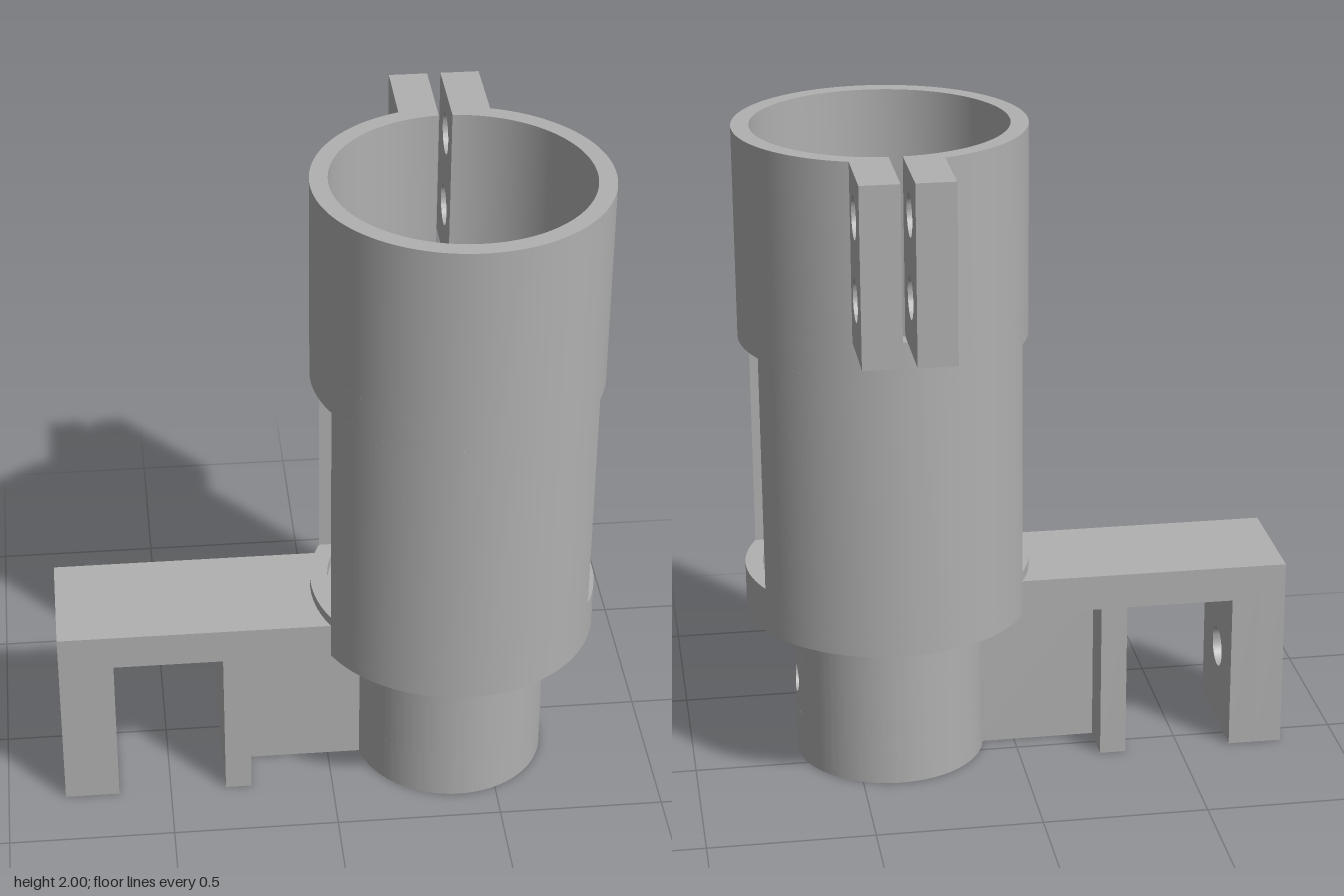
import * as THREE from 'three';
import { toCreasedNormals } from 'three/addons/utils/BufferGeometryUtils.js';

const HALF = 0.19; // half width of the arm and of the windows
const OUT = 0.433, IN = 0.38; // cup wall radii
const TUBE = 0.29, BORE = 0.235; // lower tube radii
const SEG = 96;

export function createModel() {
  const grey = new THREE.MeshStandardMaterial({ color: 0xb0b0b0 });
  grey.name = 'grey plastic';
  const model = new THREE.Group();
  model.name = 'tubeHolder';
  // everything is placed relative to the tube axis
  const body = new THREE.Group();
  body.name = 'body';
  body.position.set(0.385, 0, 0.11);
  model.add(body);

  const add = (name, geometry) => {
    const mesh = new THREE.Mesh(toCreasedNormals(geometry, 0.5), grey);
    mesh.name = name;
    body.add(mesh);
    return mesh;
  };

  // extrude a plan shape upward from y0 to y1
  const upward = (shape, y0, y1) =>
    new THREE.ExtrudeGeometry(shape, { depth: y1 - y0, bevelEnabled: false, curveSegments: SEG })
      .rotateX(-Math.PI / 2).translate(0, y0, 0);

  // extrude a side shape along x
  const sideways = (shape, x0, x1) =>
    new THREE.ExtrudeGeometry(shape, { depth: x1 - x0, bevelEnabled: false, curveSegments: 24 })
      .rotateY(Math.PI / 2).translate(x0, 0, 0);

  const ring = (R, r, y0, y1) => {
    const s = new THREE.Shape().absarc(0, 0, R, 0, Math.PI * 2, false);
    s.holes.push(new THREE.Path().absarc(0, 0, r, 0, Math.PI * 2, true));
    return upward(s, y0, y1);
  };

  // ring opened toward +x by a straight cut of half width h, or toward both sides
  const cutRing = (R, r, h, y0, y1, bothSides) => {
    const end = bothSides ? Math.PI : Math.PI * 2;
    const a = Math.asin(h / R), b = Math.asin(h / r);
    const s = new THREE.Shape();
    s.absarc(0, 0, R, a, end - a, false);
    s.absarc(0, 0, r, end - b, b, true);
    s.closePath();
    return upward(s, y0, y1);
  };

  const rect = (z0, z1, y0, y1) => new THREE.Shape([
    new THREE.Vector2(-z1, y0), new THREE.Vector2(-z0, y0),
    new THREE.Vector2(-z0, y1), new THREE.Vector2(-z1, y1)]);
  const roundHole = (z, y, r) => new THREE.Path().absarc(-z, y, r, 0, Math.PI * 2, true);

  const box = (x0, x1, y0, y1, halfZ) =>
    new THREE.BoxGeometry(x1 - x0, y1 - y0, halfZ * 2).translate((x0 + x1) / 2, (y0 + y1) / 2, 0);

  // curved square piece of wall on the +x side with a round hole through it
  const holedWall = (R, r, h, yc, holeR) => {
    const T = 48, S = 6, K = 2 * (S + 1), pos = [], idx = [];
    for (let i = 0; i <= T; i++) {
      const t = (i / T) * Math.PI * 2, c = Math.cos(t), s = Math.sin(t);
      const edge = h / Math.max(Math.abs(c), Math.abs(s));
      for (let k = 0; k < K; k++) {
        const outer = k <= S;
        const f = (outer ? k : K - 1 - k) / S;
        const d = holeR + (edge - holeR) * f, rad = outer ? R : r;
        pos.push(Math.sqrt(rad * rad - d * d * c * c), yc + d * s, d * c);
      }
    }
    for (let i = 0; i < T; i++) for (let k = 0; k < K; k++) {
      const k2 = (k + 1) % K;
      const a = i * K + k, b = (i + 1) * K + k, c = i * K + k2, d = (i + 1) * K + k2;
      idx.push(a, b, c, b, d, c);
    }
    const g = new THREE.BufferGeometry();
    g.setAttribute('position', new THREE.Float32BufferAttribute(pos, 3));
    g.setIndex(idx);
    return g;
  };

  // lower tube with a screw hole
  add('lowerTubeBottom', ring(TUBE, BORE, 0, 0.15));
  add('lowerTubeMiddle', cutRing(TUBE, BORE, 0.1, 0.15, 0.35, false));
  add('lowerTubeScrewHole', holedWall(TUBE, BORE, 0.1, 0.25, 0.05));
  add('lowerTubeTop', ring(TUBE, BORE, 0.35, 0.49));

  // cup floor with a stepped hole
  add('cupFloorLower', ring(OUT, 0.12, 0.49, 0.55));
  add('cupFloorUpper', ring(OUT, 0.145, 0.55, 0.6));

  // cup wall with two windows and a clamping slot at the back
  add('cupSill', ring(OUT, IN, 0.6, 0.63));
  const pillar = cutRing(OUT, IN, HALF, 0.63, 1.36, true);
  add('backWall', pillar);
  add('frontWall', pillar).rotation.y = Math.PI;
  add('cupBand', ring(OUT, IN, 1.36, 1.47));
  add('clampRing', cutRing(OUT, IN, 0.02, 1.47, 2, false)).rotation.y = Math.PI / 2;

  // clamp lugs with bolt holes
  for (const [name, x0] of [['leftClampLug', 0.02], ['rightClampLug', -0.135]]) {
    const s = rect(-0.655, -0.4, 1.47, 2);
    for (const y of [1.63, 1.87]) s.holes.push(roundHole(-0.515, y, 0.063));
    add(name, sideways(s, x0, x0 + 0.115));
  }

  // side arm with its inner leg and web
  add('arm', box(-1.045, -0.385, 0.49, 0.6, HALF));
  add('innerLeg', box(-0.715, -0.635, 0, 0.49, HALF));
  add('web', box(-0.635, -0.265, 0, 0.49, 0.05));

  // end leg: nut pocket outside, round hole inside
  const pocket = rect(-HALF, HALF, 0, 0.6);
  const hex = [];
  for (let i = 0; i < 6; i++) {
    const a = (-i * Math.PI) / 3;
    hex.push(new THREE.Vector2(0.115 * Math.cos(a), 0.25 + 0.115 * Math.sin(a)));
  }
  pocket.holes.push(new THREE.Path(hex));
  add('endLegNutPocket', sideways(pocket, -1.21, -1.13));
  const inner = rect(-HALF, HALF, 0, 0.6);
  inner.holes.push(roundHole(0, 0.25, 0.063));
  add('endLegBoltHole', sideways(inner, -1.13, -1.045));

  return model;
}
